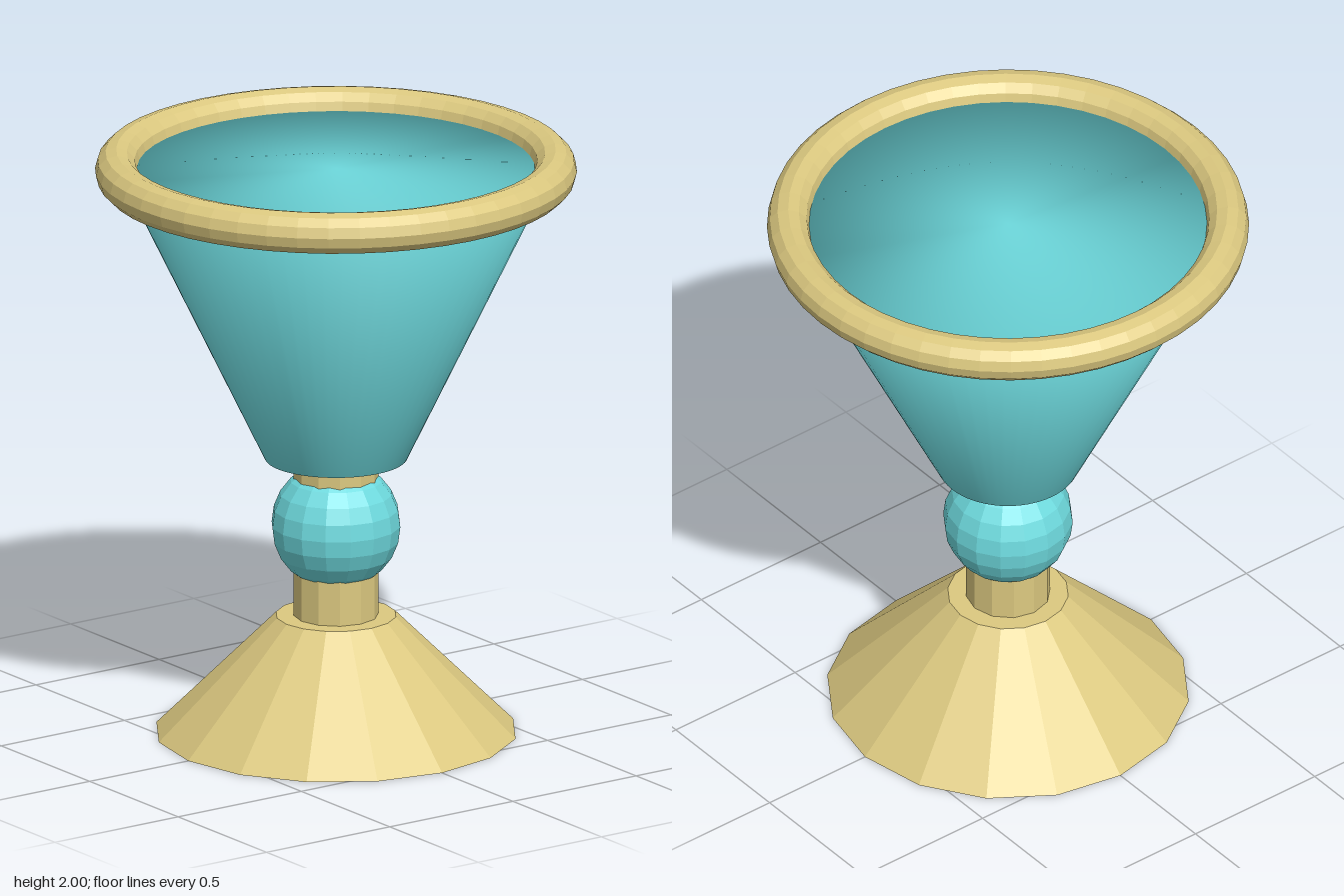
import * as THREE from 'three';
import { mergeVertices } from 'three/addons/utils/BufferGeometryUtils.js';

// Weld corners so shading flows smoothly over the edges
function welded(geometry) {
  geometry.deleteAttribute('normal');
  geometry.deleteAttribute('uv');
  const result = mergeVertices(geometry, 1e-4);
  result.computeVertexNormals();
  return result;
}

// Split faces so each facet keeps its own flat normal
function faceted(geometry) {
  const result = geometry.toNonIndexed();
  result.computeVertexNormals();
  return result;
}

export function createModel() {
  const group = new THREE.Group();
  const gold = new THREE.MeshStandardMaterial({ name: 'pale gold', color: 0xdcc980 });
  const teal = new THREE.MeshStandardMaterial({ name: 'turquoise', color: 0x6edade });

  function add(name, geometry, material, y) {
    const mesh = new THREE.Mesh(geometry, material);
    mesh.name = name;
    mesh.position.y = y;
    group.add(mesh);
    return mesh;
  }

  // Flared foot
  add('foot', faceted(new THREE.CylinderGeometry(0.2, 0.6, 0.4, 16)), gold, 0.2);

  // Stem running from the foot to the bowl
  add('stem', faceted(new THREE.CylinderGeometry(0.14, 0.14, 0.56, 12)), gold, 0.67);

  // Round knob on the stem
  add('knob', faceted(new THREE.SphereGeometry(0.215, 16, 12)), teal, 0.71);

  // Conical bowl, filled up to the rim
  add('bowl', welded(new THREE.CylinderGeometry(0.715, 0.235, 0.995, 64)), teal, 1.4375);

  // Thick rolled rim
  const rim = faceted(new THREE.TorusGeometry(0.725, 0.07, 12, 48).rotateX(-Math.PI / 2));
  add('rim', rim, gold, 1.93);

  return group;
}
